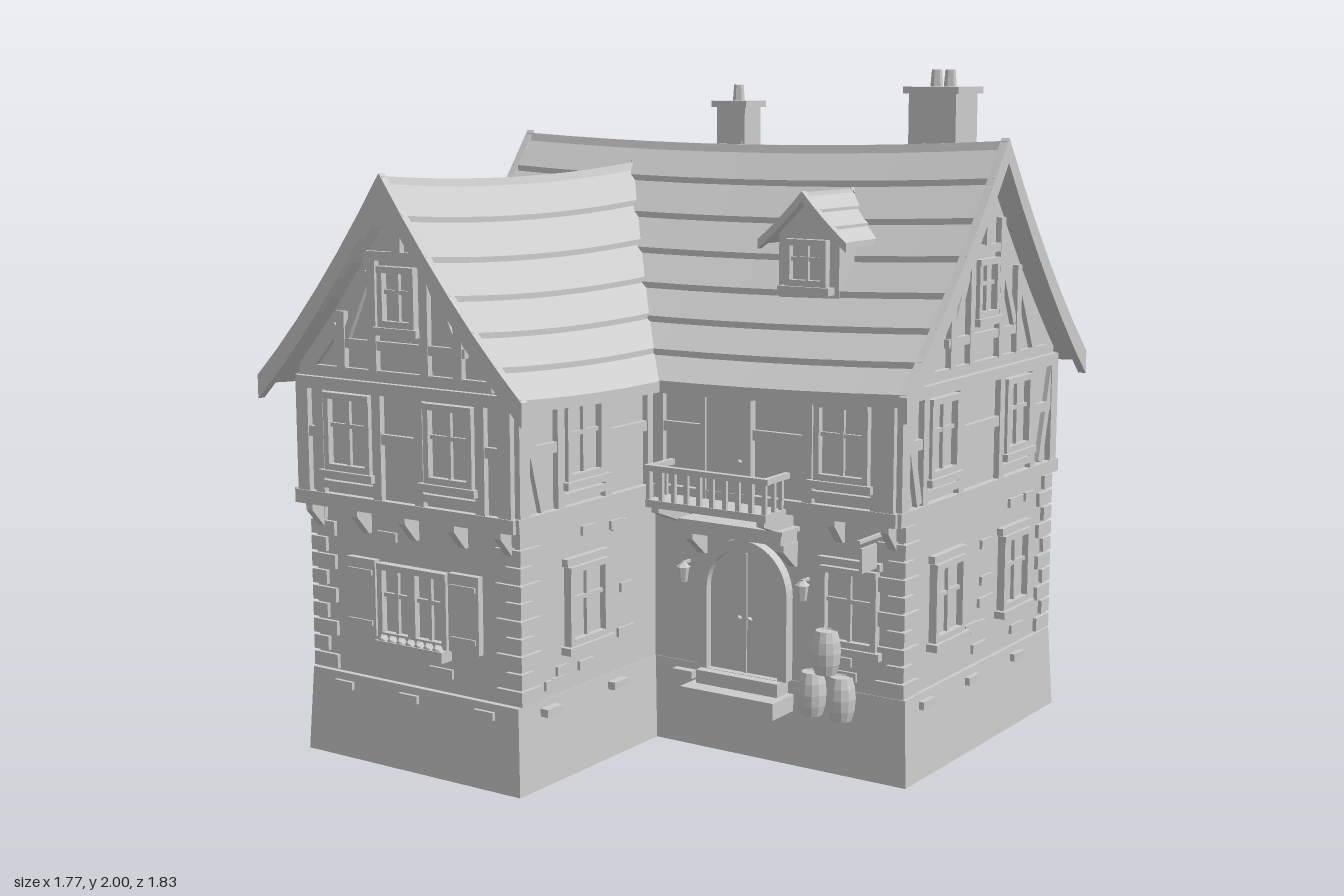
import * as THREE from 'three';

const stone = new THREE.MeshStandardMaterial({ color: 0xcccccc, side: THREE.DoubleSide, flatShading: true });
stone.name = 'plain grey';

let seed = 7;
const rand = () => (seed = (seed * 16807) % 2147483647) / 2147483647;

function add(parent, name, geo, x = 0, y = 0, z = 0) {
  const m = new THREE.Mesh(geo, stone);
  m.name = name;
  m.position.set(x, y, z);
  parent.add(m);
  return m;
}
function group(parent, name, x = 0, y = 0, z = 0, ry = 0) {
  const g = new THREE.Group();
  g.name = name;
  g.position.set(x, y, z);
  g.rotation.y = ry;
  parent.add(g);
  return g;
}
// box given by its x, y and z ranges
const box = (p, name, x0, x1, y0, y1, z0, z1) =>
  add(p, name, new THREE.BoxGeometry(x1 - x0, y1 - y0, z1 - z0), (x0 + x1) / 2, (y0 + y1) / 2, (z0 + z1) / 2);
// straight timber between two points of a wall
function bar(p, name, x0, y0, x1, y1, w = 0.035, d = 0.018) {
  const m = add(p, name, new THREE.BoxGeometry(Math.hypot(x1 - x0, y1 - y0), w, d), (x0 + x1) / 2, (y0 + y1) / 2, d / 2);
  m.rotation.z = Math.atan2(y1 - y0, x1 - x0);
}
// skin over a list of equal rings, with optional end caps
function loft(rings, capStart = true, capEnd = true) {
  const v = [], n = rings[0].length;
  const tri = (...pts) => pts.forEach(p => v.push(...p));
  for (let i = 0; i + 1 < rings.length; i++) for (let j = 0; j < n; j++) {
    const k = (j + 1) % n, a = rings[i], b = rings[i + 1];
    tri(a[j], a[k], b[k]); tri(a[j], b[k], b[j]);
  }
  const first = rings[0], last = rings[rings.length - 1];
  for (let j = 1; j + 1 < n; j++) {
    if (capStart) tri(first[0], first[j + 1], first[j]);
    if (capEnd) tri(last[0], last[j], last[j + 1]);
  }
  const g = new THREE.BufferGeometry();
  g.setAttribute('position', new THREE.Float32BufferAttribute(v, 3));
  g.computeVertexNormals();
  return g;
}
function extrude(pts, depth) {
  return new THREE.ExtrudeGeometry(new THREE.Shape(pts.map(p => new THREE.Vector2(...p))), { depth, bevelEnabled: false });
}

// height of a concave roof slope, t = 0 at the ridge and 1 at the eave
const slope = (r, t) => r.ridge - r.drop * t - 4 * r.dip * t * (1 - t);

// lapped roof along local z, with ridge cap and barge boards
function roof(p, r) {
  const N = 10, sagAt = i => -r.sag * (1 - (2 * i / N - 1) ** 2);
  const sweep = section => {
    const rings = [];
    for (let i = 0; i <= N; i++)
      rings.push(section.map(([x, y]) => [x, y + sagAt(i), r.a + (r.b - r.a) * i / N]));
    return loft(rings);
  };
  for (const s of [-1, 1]) {
    for (let k = 0; k < r.rows; k++) {
      const t0 = k / r.rows, t1 = (k + 1) / r.rows, x0 = s * r.half * t0, x1 = s * r.half * t1;
      const y0 = slope(r, t0), y1 = slope(r, t1);
      add(p, 'shingleRow', sweep([[x0, y0], [x1, y1 + r.lap], [x1, y1 - r.lap], [x0, y0 - r.lap]]));
    }
    const top = [], low = [];
    for (let i = 0; i <= 6; i++) {
      const t = i / 6 * 1.01, y = slope(r, t);
      top.push([s * r.half * t, y + r.lap * 0.9]);
      low.unshift([s * r.half * t, y - r.board]);
    }
    for (const z of [r.a - 0.004, r.b - 0.021]) add(p, 'bargeBoard', extrude([...top, ...low], 0.025), 0, 0, z);
  }
  const c = r.lap * 0.9;
  add(p, 'ridgeCap', sweep([[-c, r.ridge - c], [-c / 2, r.ridge + c / 2], [c / 2, r.ridge + c / 2], [c, r.ridge - c]]));
}
// gabled body that fits below a roof
function gableBody(p, name, r, halfWidth, y0, z0, z1, gap) {
  const pts = [[-halfWidth, y0], [halfWidth, y0]];
  for (let i = 6; i >= -6; i--) {
    const x = halfWidth * i / 6;
    pts.push([x, slope(r, Math.abs(x) / r.half) - gap]);
  }
  add(p, name, extrude(pts, z1 - z0), 0, 0, z0);
}

// framed window with glazing bars and sill, centred on x
function windowFrame(p, x, y0, y1, w, sill = true) {
  const g = group(p, 'window', x), h = w / 2, f = 0.018;
  for (const s of [-1, 1]) box(g, 'frameSide', s * h - f / 2, s * h + f / 2, y0, y1, 0, 0.024);
  box(g, 'frameTop', -h - f / 2, h + f / 2, y1 - f, y1, 0, 0.026);
  box(g, 'frameBottom', -h, h, y0, y0 + f, 0, 0.024);
  box(g, 'pane', -h, h, y0, y1, 0, 0.004);
  box(g, 'mullion', -0.006, 0.006, y0, y1, 0, 0.015);
  const m = y0 + (y1 - y0) * 0.58;
  box(g, 'transom', -h, h, m - 0.006, m + 0.006, 0, 0.014);
  if (sill) box(g, 'sill', -h - 0.025, h + 0.025, y0 - 0.022, y0, 0, 0.035);
}
function shutters(p, x, y0, y1, w, sw) {
  for (const s of [-1, 1]) {
    const c = x + s * (w / 2 + sw / 2 + 0.012);
    box(p, 'shutter', c - sw / 2, c + sw / 2, y0, y1, 0, 0.02);
    for (const y of [y0 + 0.03, y1 - 0.045]) box(p, 'shutterBatten', c - sw / 2 + 0.01, c + sw / 2 - 0.01, y, y + 0.015, 0.02, 0.026);
  }
}
// ground floor wall: windows, corner stones and scattered stones
function groundWall(p, name, x, z, ry, a, b, wins, blocked = [], ends = [1, 1]) {
  const g = group(p, name, x, 0, z, ry);
  for (const c of wins) { windowFrame(g, c, 0.38, 0.61, 0.165); box(g, 'lintel', c - 0.1, c + 0.1, 0.613, 0.635, 0, 0.02); }
  [a, b].forEach((e, i) => {
    for (let k = 0; ends[i] && k < 10; k++) {
      const w = k % 2 ? 0.045 : 0.08, y = 0.255 + k * 0.05, s = i ? -1 : 1;
      box(g, 'cornerStone', Math.min(e - s * 0.012, e + s * w), Math.max(e - s * 0.012, e + s * w), y, y + 0.042, -0.02, 0.012);
    }
  });
  const busy = [...wins.map(c => [c - 0.12, c + 0.12]), ...blocked];
  for (let k = 0; k < (b - a) * 26; k++) {
    const w = 0.05 + rand() * 0.05, sx = a + 0.1 + rand() * (b - a - 0.2 - w), y = 0.27 + rand() * 0.42;
    if (y < 0.32 || y > 0.66 || !busy.some(([l, r]) => sx + w > l && sx < r)) box(g, 'wallStone', sx, sx + w, y, y + 0.027, 0, 0.009);
  }
  for (let s = a + 0.08; s < b - 0.1; s += 0.2 + rand() * 0.15) box(g, 'plinthStone', s, s + 0.07, 0.205, 0.228, 0, 0.029);
  return g;
}
// upper wall: beams, posts, windows and corner braces
function timberWall(p, name, x, z, ry, a, b, wins, braces = [1, 1], top = 1.13) {
  const g = group(p, name, x, 0, z, ry), T = 0.018;
  box(g, 'sillBeam', a - 0.01, b + 0.01, 0.755, 0.795, 0, T + 0.004);
  box(g, 'topBeam', a, b, top - 0.035, top, 0, T);
  for (const e of [a, b - 0.045]) box(g, 'cornerPost', e, e + 0.045, 0.79, top, 0, T);
  for (const c of wins) {
    windowFrame(g, c, 0.865, 1.09, 0.155);
    for (const s of [-1, 1]) box(g, 'post', c + s * 0.11 - 0.016, c + s * 0.11 + 0.016, 0.79, top - 0.03, 0, T);
    box(g, 'underRail', c - 0.1, c + 0.1, 0.81, 0.832, 0, T);
  }
  const stops = [a, ...wins.flatMap(c => [c - 0.11, c + 0.11]), b];
  for (let i = 0; i < stops.length; i += 2) {
    const l = stops[i], r = stops[i + 1];
    if (r - l > 0.08) box(g, 'midRail', l, r, 0.955, 0.985, 0, T - 0.003);
    if (r - l > 0.3) box(g, 'middlePost', (l + r) / 2 - 0.017, (l + r) / 2 + 0.017, 0.79, top, 0, T);
  }
  if (braces[0]) bar(g, 'brace', a + 0.03, 1.09, a + 0.11, 0.8, 0.03, 0.015);
  if (braces[1]) bar(g, 'brace', b - 0.03, 1.09, b - 0.11, 0.8, 0.03, 0.015);
  return g;
}
// timbering of a gable triangle, centred on x = c
function gable(g, c, r, halfWidth) {
  const under = x => slope(r, Math.abs(x) / r.half) - 0.07;
  box(g, 'collarBeam', c - halfWidth * 0.84, c + halfWidth * 0.84, 1.135, 1.165, 0, 0.016);
  windowFrame(g, c, 1.29, 1.46, 0.115);
  box(g, 'kingPost', c - 0.016, c + 0.016, 1.5, under(0), 0, 0.018);
  box(g, 'upperCollar', c - 0.12, c + 0.12, 1.475, 1.5, 0, 0.017);
  box(g, 'lowerRail', c - 0.24, c + 0.24, 1.222, 1.248, 0, 0.016);
  for (const s of [-1, 1]) {
    box(g, 'gablePost', c + s * 0.095 - 0.015, c + s * 0.095 + 0.015, 1.16, under(0.11), 0, 0.018);
    box(g, 'outerPost', c + s * 0.215 - 0.015, c + s * 0.215 + 0.015, 1.16, under(0.23), 0, 0.018);
    bar(g, 'gableBrace', c + s * 0.34, 1.16, c + s * 0.23, under(0.25) - 0.02, 0.028, 0.015);
    bar(g, 'innerBrace', c + s * 0.2, 1.25, c + s * 0.11, 1.44, 0.025, 0.014);
  }
}
// wedge bracket under an overhang
function bracket(p, x, y, z, d) {
  const m = add(p, 'bracket', extrude([[0, 0], [d, 0], [d, -0.02], [0.012, -0.075], [0, -0.075]], 0.025), x - 0.0125, y, z);
  m.rotation.y = -Math.PI / 2;
  m.position.x += 0.025;
}
function archPath(P, half, y0, spring) {
  P.moveTo(-half, y0); P.lineTo(half, y0); P.lineTo(half, spring);
  P.absarc(0, spring, half, 0, Math.PI, false); P.lineTo(-half, y0);
  return P;
}
function plinth(p, x0, x1, z0, z1) {
  const ring = (i, y) => [[x0 + i, y, z1 - i], [x1 - i, y, z1 - i], [x1 - i, y, z0 + i], [x0 + i, y, z0 + i]];
  add(p, 'plinth', loft([ring(0, 0), ring(0.013, 0.25)], false, true));
}

export function createModel() {
  const house = new THREE.Group();
  house.name = 'house';
  const Q = Math.PI / 2;
  const mainR = { ridge: 1.79, drop: 0.67, half: 0.59, dip: 0.035, a: -0.86, b: 0.88, sag: 0.025, rows: 7, lap: 0.018, board: 0.055 };
  const wingR = { ridge: 1.705, drop: 0.585, half: 0.48, dip: 0.03, a: -0.29, b: 0.91, sag: 0.025, rows: 6, lap: 0.016, board: 0.055 };
  const dormR = { ridge: 1.65, drop: 0.14, half: 0.145, dip: 0.006, a: -0.24, b: 0.06, sag: 0, rows: 3, lap: 0.009, board: 0.02 };

  // plinth and ground floor
  plinth(house, -0.815, 0.835, -0.835, 0.155);
  plinth(house, -0.815, -0.015, -0.36, 0.82);
  box(house, 'groundFloor', -0.79, 0.81, 0.25, 0.76, -0.81, 0.14);
  box(house, 'wingGroundFloor', -0.79, -0.03, 0.25, 0.76, -0.3, 0.79);

  // upper floors and roofs
  const main = group(house, 'mainUpper', 0, 0, -0.32, Q);
  gableBody(main, 'upperWalls', mainR, 0.51, 0.75, -0.79, 0.81, 0.045);
  roof(main, mainR);
  const wing = group(house, 'wingUpper', -0.403);
  gableBody(wing, 'wingUpperWalls', wingR, 0.395, 0.75, -0.28, 0.835, 0.045);
  roof(wing, wingR);
  const dormer = group(house, 'dormer', 0.425);
  gableBody(dormer, 'dormerWalls', dormR, 0.1, 1.33, -0.25, 0.02, 0.015);
  roof(dormer, dormR);
  windowFrame(group(dormer, 'dormerFront', 0, 0, 0.02), 0, 1.385, 1.52, 0.12);

  // ground floor wall details
  const frontWing = groundWall(house, 'wingFrontWall', 0, 0.79, 0, -0.79, -0.03, [], [[-0.66, -0.16]]);
  const frontMain = groundWall(house, 'mainFrontWall', 0, 0.14, 0, -0.03, 0.81, [0.645], [[0.05, 0.8]], [0, 1]);
  groundWall(house, 'rightWall', 0.81, 0, Q, -0.14, 0.81, [0.11, 0.555]);
  groundWall(house, 'wingRightWall', -0.03, 0, Q, -0.79, -0.14, [-0.5], [], [1, 0]);
  groundWall(house, 'leftWall', -0.79, 0, -Q, -0.81, 0.79, [-0.18, 0, 0.18]);
  groundWall(house, 'backWall', 0, -0.81, Math.PI, -0.81, 0.79, [-0.59, -0.19, 0.21, 0.61]);

  // wide front window with shutters and flower box
  for (const x of [-0.47, -0.345]) windowFrame(frontWing, x, 0.38, 0.6, 0.115, false);
  shutters(frontWing, -0.41, 0.38, 0.605, 0.25, 0.11);
  box(frontWing, 'flowerBox', -0.53, -0.28, 0.345, 0.378, 0, 0.045);
  for (let i = 0; i < 7; i++) add(frontWing, 'flowers', new THREE.IcosahedronGeometry(0.018), -0.51 + i * 0.034, 0.378, 0.028);

  // upper wall details
  gable(timberWall(house, 'wingFrontTimber', 0, 0.835, 0, -0.798, -0.008, [-0.6, -0.225], [0, 0]), -0.403, wingR, 0.395);
  timberWall(house, 'mainFrontTimber', 0, 0.19, 0, 0, 0.81, [0.645], [0, 0], 1.12);
  gable(timberWall(house, 'rightTimber', 0.81, 0, Q, -0.19, 0.83, [0.06, 0.545]), 0.32, mainR, 0.51);
  gable(timberWall(house, 'leftTimber', -0.798, 0, -Q, -0.83, 0.835, [-0.56, -0.1, 0.25, 0.6]), -0.32, mainR, 0.51);
  timberWall(house, 'wingRightTimber', -0.008, 0, Q, -0.835, -0.19, [-0.54], [1, 0]);
  timberWall(house, 'backTimber', 0, -0.83, Math.PI, -0.81, 0.79, [-0.59, -0.19, 0.21, 0.61]);

  // brackets below the overhangs
  for (const x of [-0.76, -0.585, -0.405, -0.225, -0.06]) bracket(house, x, 0.755, 0.79, 0.06);
  for (const x of [0.015, 0.61, 0.78]) bracket(house, x, 0.755, 0.14, 0.06);
  for (const x of [0.08, 0.44]) bracket(house, x, 0.75, 0.14, 0.16);

  // balcony with its door
  const balcony = group(house, 'balcony');
  box(balcony, 'balconyFloor', 0.06, 0.47, 0.748, 0.77, 0.15, 0.32);
  box(balcony, 'frontRail', 0.055, 0.475, 0.855, 0.872, 0.3, 0.32);
  for (const x of [0.06, 0.455]) box(balcony, 'sideRail', x, x + 0.015, 0.855, 0.872, 0.19, 0.32);
  for (let i = 0; i < 10; i++) box(balcony, 'baluster', 0.06 + i * 0.0437, 0.073 + i * 0.0437, 0.765, 0.86, 0.304, 0.316);
  for (const x of [0.062, 0.457]) for (const z of [0.22, 0.26]) box(balcony, 'sideBaluster', x, x + 0.011, 0.765, 0.86, z, z + 0.011);
  box(balcony, 'balconyDoor', 0.195, 0.335, 0.77, 1.07, 0.18, 0.208);
  for (const x of [0.18, 0.335]) box(balcony, 'doorPost', x, x + 0.018, 0.77, 1.085, 0.18, 0.215);
  box(balcony, 'doorHead', 0.17, 0.36, 1.07, 1.095, 0.18, 0.217);
  add(balcony, 'doorKnob', new THREE.IcosahedronGeometry(0.008), 0.315, 0.89, 0.213);

  // arched entrance, lintel canopy, steps and lamps
  const entry = group(house, 'entrance', 0.3, 0, 0.14);
  const surround = archPath(new THREE.Shape(), 0.152, 0.25, 0.5);
  surround.holes.push(archPath(new THREE.Path(), 0.122, 0.251, 0.5));
  add(entry, 'doorSurround', new THREE.ExtrudeGeometry(surround, { depth: 0.035, bevelEnabled: false }));
  add(entry, 'doorLeaf', new THREE.ExtrudeGeometry(archPath(new THREE.Shape(), 0.122, 0.21, 0.5), { depth: 0.012, bevelEnabled: false }));
  box(entry, 'doorSeam', -0.005, 0.005, 0.21, 0.61, 0.012, 0.017);
  for (const s of [-1, 1]) {
    add(entry, 'doorHandle', new THREE.IcosahedronGeometry(0.009), s * 0.018, 0.415, 0.02);
    bracket(entry, s * 0.155, 0.665, 0, 0.08);
    box(entry, 'lampArm', s * 0.205 - 0.004, s * 0.205 + 0.004, 0.555, 0.563, 0, 0.04);
    add(entry, 'lamp', new THREE.CylinderGeometry(0.018, 0.012, 0.045, 6), s * 0.205, 0.525, 0.035);
    add(entry, 'lampCap', new THREE.ConeGeometry(0.022, 0.018, 6), s * 0.205, 0.556, 0.035);
  }
  box(entry, 'canopy', -0.17, 0.165, 0.665, 0.695, 0, 0.09);
  box(entry, 'canopyTop', -0.18, 0.175, 0.695, 0.708, 0, 0.1);
  box(entry, 'upperStep', -0.14, 0.14, 0.205, 0.25, 0, 0.065);
  box(entry, 'lowerStep', -0.16, 0.16, 0.16, 0.21, 0, 0.12);

  // hanging sign
  box(house, 'signArm', 0.738, 0.748, 0.715, 0.725, 0.14, 0.28);
  box(house, 'signBoard', 0.739, 0.747, 0.63, 0.7, 0.18, 0.265);

  // stacked barrels
  const barrel = [[0, 0], [0.031, 0], [0.039, 0.03], [0.042, 0.063], [0.039, 0.096], [0.031, 0.126], [0.029, 0.12], [0, 0.12]];
  const barrelGeo = new THREE.LatheGeometry(barrel.map(b => new THREE.Vector2(...b)), 12);
  for (const [x, y] of [[0.56, 0.185], [0.655, 0.185], [0.605, 0.312]]) add(house, 'barrel', barrelGeo, x, y, 0.21);

  // chimneys: [x, z, half width, half depth, cap top, pot top, pot offsets]
  for (const [x, z, w, d, cap, pot, pots] of [[-0.125, -0.465, 0.052, 0.047, 1.905, 1.955, [0]], [0.63, -0.4, 0.077, 0.07, 1.95, 2, [-0.022, 0.022]]]) {
    const g = group(house, 'chimney', x, 0, z);
    box(g, 'stack', -w, w, 1.4, cap, -d, d);
    box(g, 'chimneyCap', -w - 0.013, w + 0.013, cap - 0.02, cap, -d - 0.012, d + 0.012);
    for (const o of pots) add(g, 'chimneyPot', new THREE.CylinderGeometry(0.015, 0.019, pot - cap, 6), o, (cap + pot) / 2, 0);
    for (const s of [-1, 1]) for (let k = 0; k < 3; k++)
      box(g, 'chimneyStone', -w * 0.6 + k * 0.02, -w * 0.6 + k * 0.02 + 0.035, 1.62 + k * 0.07, 1.64 + k * 0.07, s * d - 0.005, s * d + 0.005);
  }
  return house;
}
